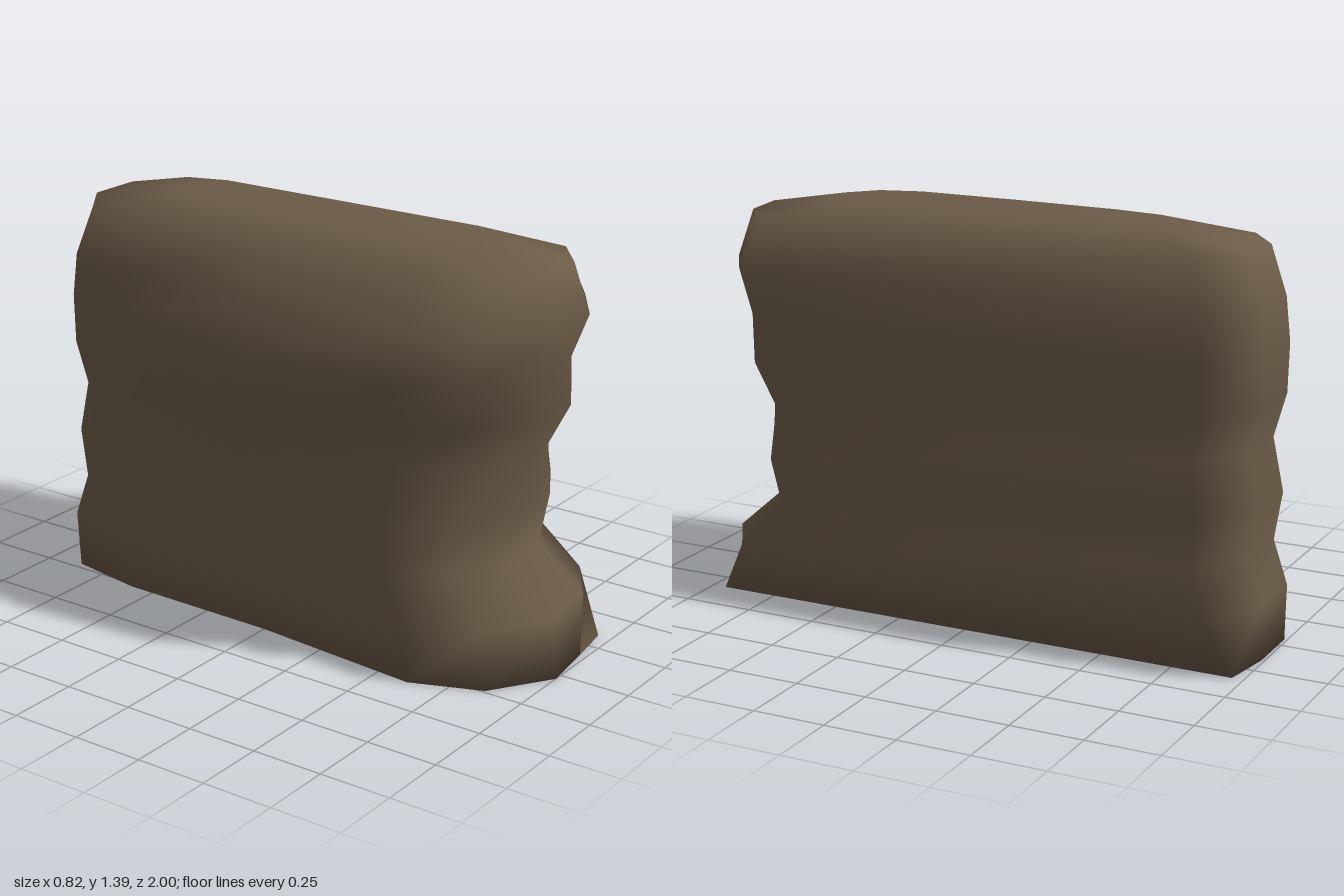
import * as THREE from 'three';

// Height rings: y, right x, right corner depth (0..1), front z, back z,
// then the left side's x towards the front, in the middle and towards the back
const RINGS = [
  [0.00, 0.34, 0.95, 1.00, -0.99, -0.335, -0.28, -0.27],
  [0.20, 0.41, 0.85, 0.975, -1.00, -0.345, -0.30, -0.28],
  [0.35, 0.38, 0.85, 0.80, -0.95, -0.295, -0.28, -0.26],
  [0.52, 0.405, 0.85, 0.83, -0.98, -0.33, -0.30, -0.26],
  [0.70, 0.375, 0.85, 0.82, -0.94, -0.26, -0.30, -0.25],
  [0.85, 0.395, 0.85, 0.90, -0.98, -0.31, -0.39, -0.27],
  [1.02, 0.40, 0.85, 0.90, -0.985, -0.36, -0.41, -0.27],
  [1.17, 0.395, 0.85, 0.96, -0.97, -0.335, -0.34, -0.26],
  [1.335, 0.345, 0.85, 0.90, -0.92, -0.22, -0.245, -0.21],
  [1.39, 0.22, 0.85, 0.60, -0.60, -0.08, -0.08, -0.07],
];

// One ring as [x, z] corners, from the right front round the front, left and back
function outline([, right, corner, front, back, leftFront, leftMid, leftBack]) {
  const frontX = (u) => THREE.MathUtils.lerp(leftFront, right, u);
  const backX = (u) => THREE.MathUtils.lerp(leftBack, right, u);
  return [
    [right, front * corner],
    [frontX(0.75), front * 0.975],
    [frontX(0.45), front],
    [frontX(0.14), front * 0.86],
    [leftFront, front * 0.62],
    [leftMid, 0],
    [leftBack, back * 0.6],
    [backX(0.08), back * 0.88],
    [backX(0.35), back],
    [backX(0.70), back],
    [right, back * (corner + 0.02)],
  ];
}

// Stacks the rings into one closed, smooth surface
function createStone() {
  const positions = [];
  const indices = [];
  const outlines = RINGS.map(outline);
  const n = outlines[0].length;
  outlines.forEach((points, r) => {
    for (const [x, z] of points) positions.push(x, RINGS[r][0], z);
  });
  const bottom = positions.length / 3;
  const top = bottom + 1;
  positions.push(0.02, 0, 0, 0.07, 1.39, 0);
  const last = (RINGS.length - 1) * n;

  for (let i = 0; i < n; i++) {
    const j = (i + 1) % n;
    for (let r = 0; r < RINGS.length - 1; r++) {
      const a = r * n + i, b = r * n + j;
      indices.push(a, a + n, b, b, a + n, b + n);
    }
    indices.push(bottom, i, j);
    indices.push(top, last + j, last + i);
  }

  const geometry = new THREE.BufferGeometry();
  geometry.setAttribute('position', new THREE.Float32BufferAttribute(positions, 3));
  geometry.setIndex(indices);
  geometry.computeVertexNormals();
  return geometry;
}

export function createModel() {
  const group = new THREE.Group();
  group.name = 'rockWall';
  const stone = new THREE.MeshStandardMaterial({ color: 0x6b5b47 });
  stone.name = 'brown stone';
  const rock = new THREE.Mesh(createStone(), stone);
  rock.name = 'rock';
  group.add(rock);
  return group;
}
